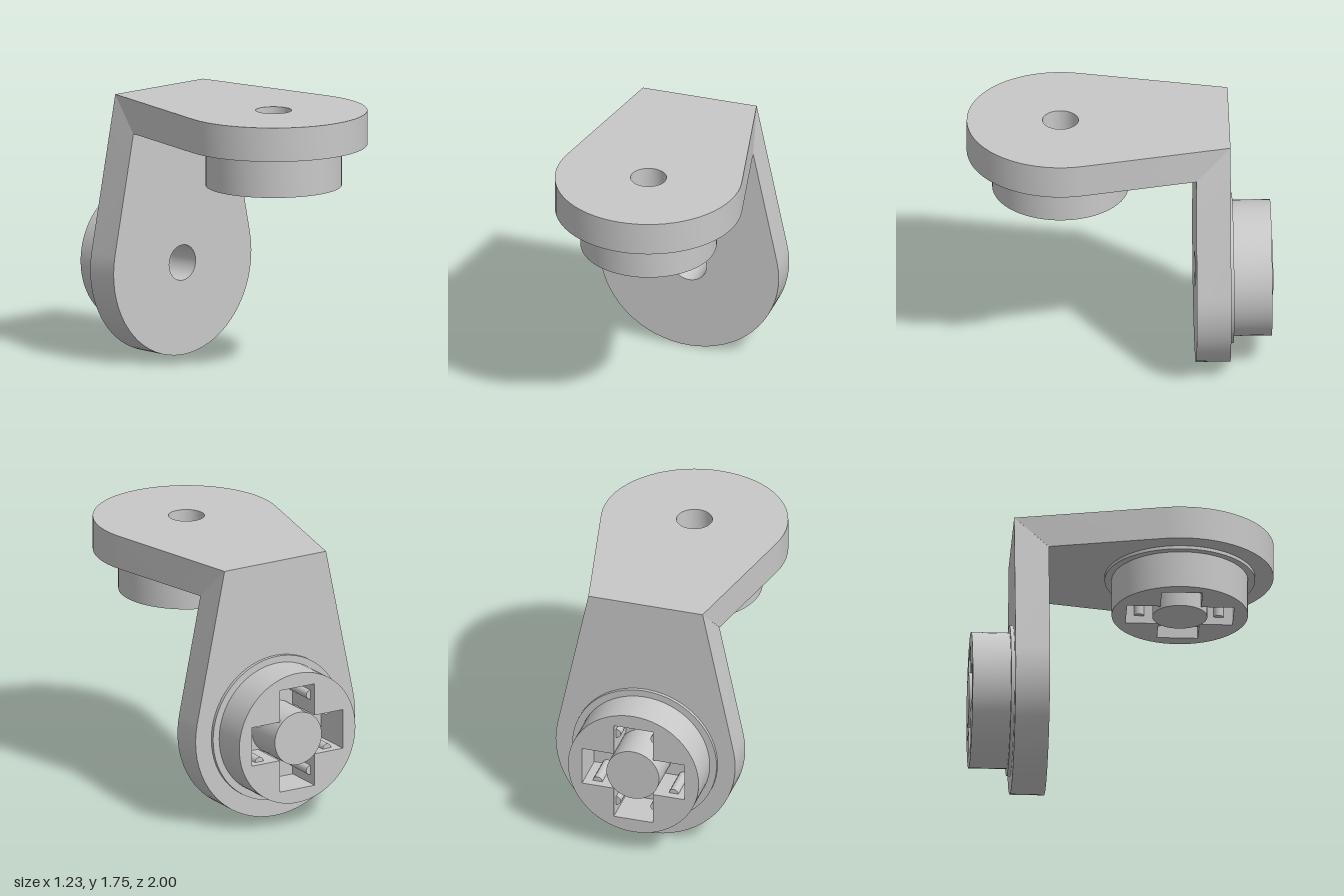
import * as THREE from 'three';
import { toCreasedNormals } from 'three/addons/utils/BufferGeometryUtils.js';

const T = 0.225;       // plate thickness
const R = 0.613;       // rounded end radius
const END = 0.39;      // half width at the bend
const HOLE = 0.118;    // screw hole radius
const ARM = 0.35;      // reach of the cross socket
const HALF = 0.133;    // half width of a socket arm

const smooth = (g) => toCreasedNormals(g, Math.PI / 6);

// Cross-shaped opening
function crossHole() {
  const pts = [];
  const corner = [[ARM, -HALF], [ARM, HALF], [HALF, HALF]];
  for (let i = 0; i < 4; i++) {
    const c = Math.round(Math.cos(i * Math.PI / 2)), s = Math.round(Math.sin(i * Math.PI / 2));
    for (const [x, y] of corner) pts.push(new THREE.Vector2(x * c - y * s, x * s + y * c));
  }
  return new THREE.Path(pts);
}

// Tapered plate with a round end; one layer of the straight end is cut back to a mitre
function plateGeometry(length, mitreZ) {
  const a = Math.atan2(length, END) - Math.acos(R / Math.hypot(END, length));
  const outline = [new THREE.Vector2(END, length), new THREE.Vector2(-END, length)];
  const steps = 36;
  for (let i = 0; i <= steps; i++) {
    const t = Math.PI - a + (Math.PI + 2 * a) * i / steps;
    outline.push(new THREE.Vector2(R * Math.cos(t), R * Math.sin(t)));
  }
  const shape = new THREE.Shape(outline);
  const ring = [];
  for (let i = 0; i < steps; i++) {
    const t = -2 * Math.PI * i / steps;
    ring.push(new THREE.Vector2(HOLE * Math.cos(t), HOLE * Math.sin(t)));
  }
  shape.holes.push(new THREE.Path(ring));
  const g = new THREE.ExtrudeGeometry(shape, { depth: T, bevelEnabled: false });
  const slope = (R * Math.cos(a) - END) / (length - R * Math.sin(a));
  const p = g.attributes.position;
  for (let i = 0; i < p.count; i++) {
    if (p.getY(i) > length - 0.001 && Math.abs(p.getZ(i) - mitreZ) < 0.001) {
      p.setX(i, Math.sign(p.getX(i)) * (END + slope * T));
      p.setY(i, length - T);
    }
  }
  return smooth(g);
}

// Disc pierced by the cross, from z = -depth to z = 0
function socketGeometry(radius, depth) {
  const shape = new THREE.Shape();
  shape.absarc(0, 0, radius, 0, Math.PI * 2, false);
  shape.holes.push(crossHole());
  const g = new THREE.ExtrudeGeometry(shape, { depth, bevelEnabled: false, curveSegments: 32 });
  g.translate(0, 0, -depth);
  return smooth(g);
}

// Central post with a stepped blind screw hole
function postGeometry() {
  const profile = [[0, -0.285], [0.18, -0.285], [0.18, 0], [HOLE, 0], [HOLE, -0.035],
    [0.065, -0.035], [0.065, -0.2], [0, -0.2]].map(([x, y]) => new THREE.Vector2(x, y));
  const g = new THREE.LatheGeometry(profile, 36);
  g.rotateX(Math.PI / 2);
  return smooth(g);
}

export function createModel() {
  const grey = new THREE.MeshStandardMaterial({ color: 0xc8c8c8 });
  grey.name = 'plain grey';

  function makeLeg(name, length, mitreZ) {
    const leg = new THREE.Group();
    leg.name = name;
    const add = (part, geometry) => {
      const m = new THREE.Mesh(geometry, grey);
      m.name = part;
      leg.add(m);
      return m;
    };
    add('plate', plateGeometry(length, mitreZ));
    add('flange', socketGeometry(0.4925, 0.023));
    add('socketBoss', socketGeometry(0.446, 0.273));
    add('centrePost', postGeometry());
    // Small grip ribs along both walls of every socket arm
    const rib = new THREE.CylinderGeometry(0.032, 0.032, 0.22, 16);
    rib.rotateX(Math.PI / 2);
    for (let i = 0; i < 4; i++) {
      for (const side of [-1, 1]) {
        const c = Math.cos(i * Math.PI / 2), s = Math.sin(i * Math.PI / 2);
        const x = 0.26, y = side * HALF;
        add('gripRib', rib).position.set(x * c - y * s, x * s + y * c, -0.11);
      }
    }
    return leg;
  }

  const model = new THREE.Group();
  model.name = 'angleBracket';

  // Upright leg: boss on the outer side
  const upright = makeLeg('uprightLeg', 1.14, T);
  upright.position.set(0, 0.615, -0.715);
  model.add(upright);

  // Level leg: boss on the underside
  const level = makeLeg('levelLeg', 1.102, 0);
  level.rotation.x = -Math.PI / 2;
  level.position.set(0, 1.53, 0.387);
  model.add(level);

  return model;
}
